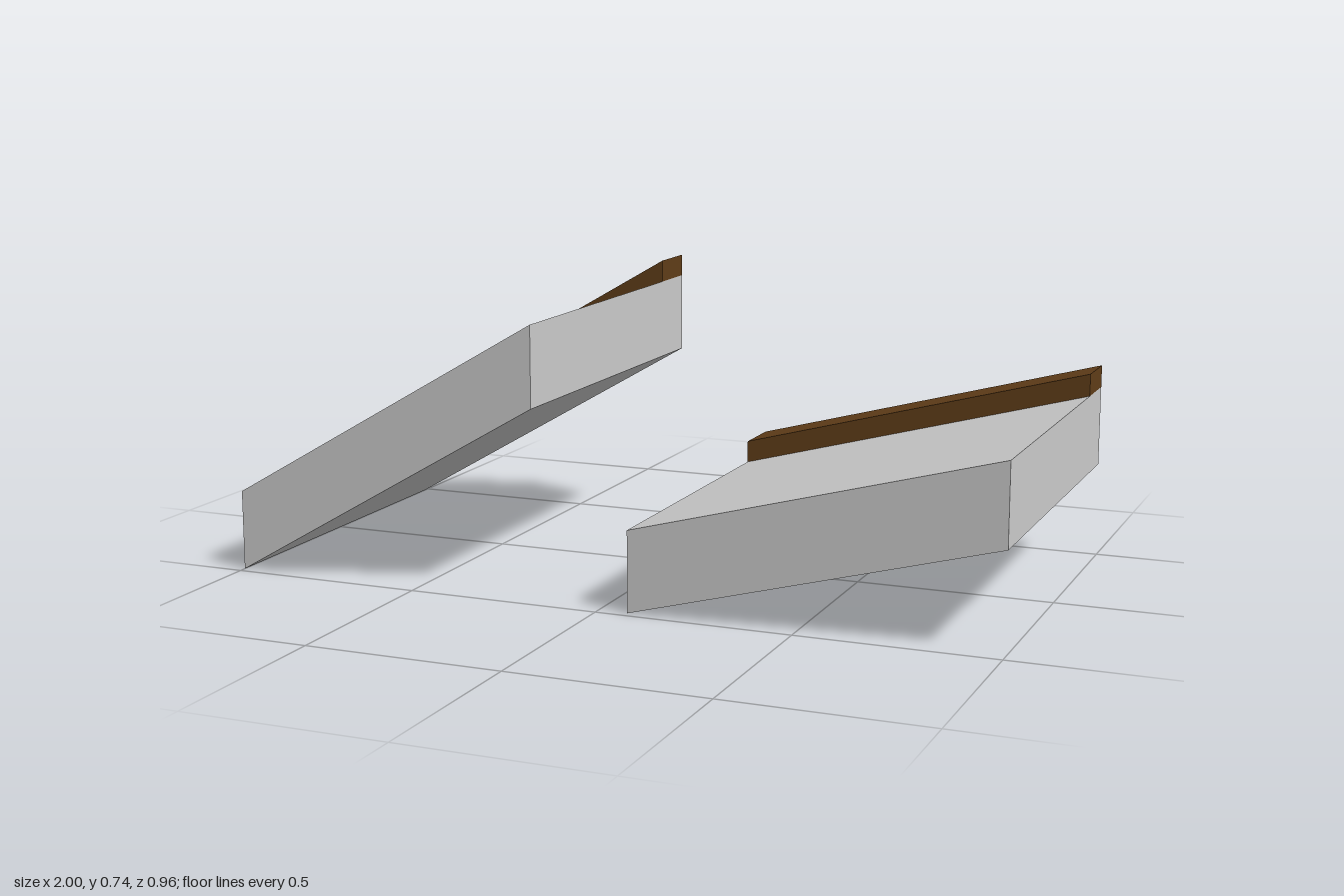
import * as THREE from 'three';

const concrete = new THREE.MeshStandardMaterial({ color: 0xcccccc, flatShading: true });
const wood = new THREE.MeshStandardMaterial({ color: 0x603d18, flatShading: true });

// Box sheared upwards along x: vertical ends, sloping top and bottom
function slopedBar(name, material, { x0, x1, rise }, y, height, z0, z1) {
  const shape = new THREE.Shape([
    new THREE.Vector2(x0, y),
    new THREE.Vector2(x1, y + rise),
    new THREE.Vector2(x1, y + rise + height),
    new THREE.Vector2(x0, y + height),
  ]);
  const geometry = new THREE.ExtrudeGeometry(shape, { depth: z1 - z0, bevelEnabled: false });
  geometry.translate(0, 0, z0);
  const mesh = new THREE.Mesh(geometry, material);
  mesh.name = name;
  return mesh;
}

// Sloping slab with a curb along its back edge
function ramp(name, span) {
  const group = new THREE.Group();
  group.name = name;
  group.add(
    slopedBar('slab', concrete, span, 0, 0.205, -0.48, 0.48),
    slopedBar('curb', wood, span, 0.205, 0.057, -0.48, -0.34),
  );
  return group;
}

export function createModel() {
  const model = new THREE.Group();
  model.name = 'rampPair';
  model.add(
    ramp('steepRamp', { x0: -1, x1: -0.175, rise: 0.48 }),
    ramp('shallowRamp', { x0: 0.075, x1: 1, rise: 0.248 }),
  );
  return model;
}
